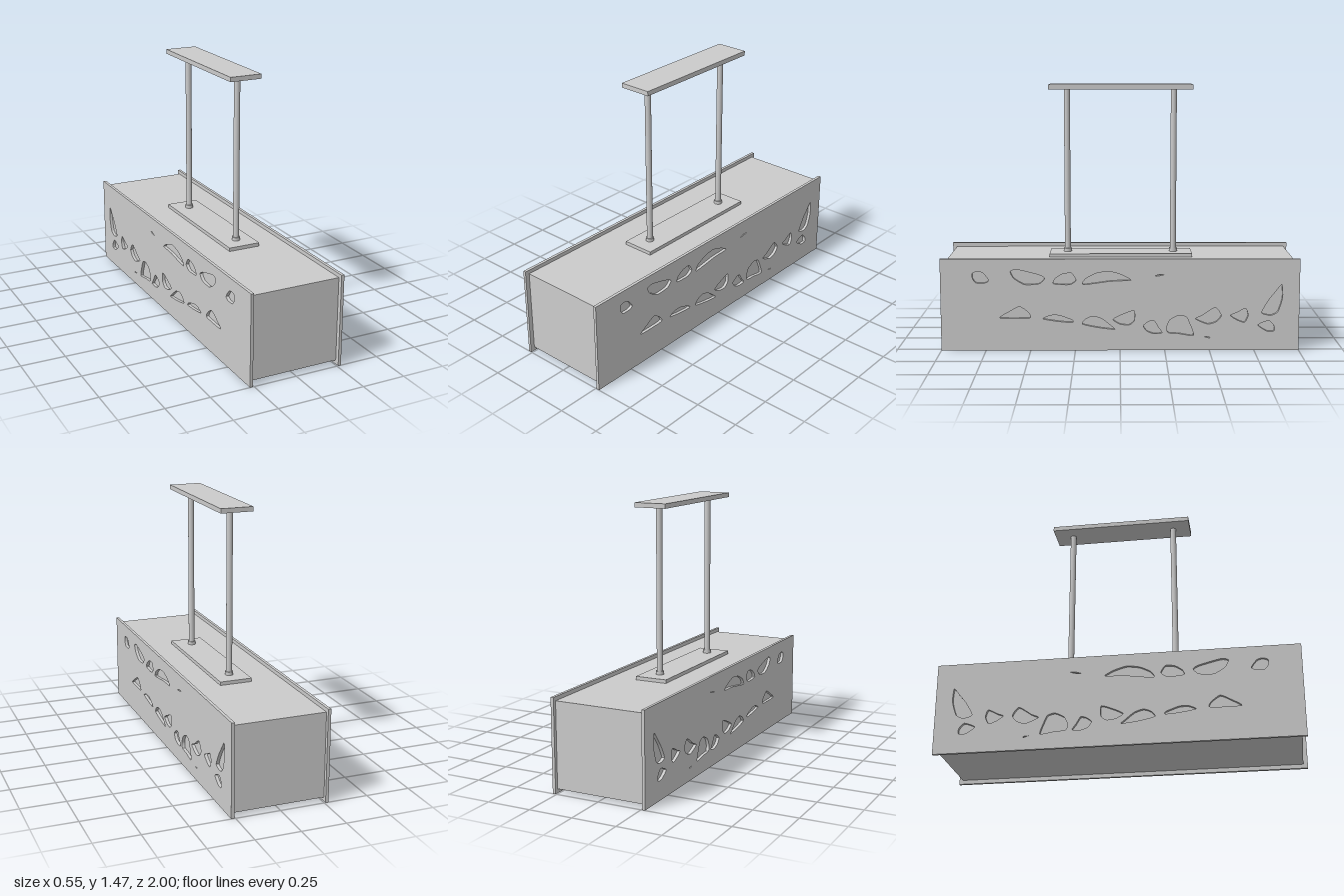
import * as THREE from 'three';

// Cut-out outlines as flat lists of z, y pairs
const upperCutouts = [
  [.82, .44, .79, .45, .76, .44, .73, .40, .75, .385, .80, .385, .82, .41],
  [.61, .45, .57, .46, .45, .43, .42, .41, .45, .38, .53, .375, .59, .41],
  [.37, .38, .36, .41, .32, .435, .27, .44, .245, .40, .28, .375],
  [.205, .375, .19, .41, .13, .44, .06, .45, -.01, .43, -.06, .40, .05, .395],
  [-.19, .423, -.22, .432, -.25, .433, -.22, .425],
];
const lowerCutouts = [
  [.67, .185, .62, .22, .56, .25, .51, .215, .505, .185],
  [.43, .18, .39, .20, .34, .20, .27, .175, .265, .16, .34, .165],
  [.21, .15, .19, .18, .15, .195, .10, .18, .05, .14, .03, .12, .12, .13],
  [.04, .175, .01, .195, -.05, .22, -.08, .225, -.08, .17, -.05, .145, 0, .15],
  [-.13, .14, -.16, .165, -.19, .17, -.215, .13, -.235, .10, -.19, .095, -.15, .11],
  [-.26, .13, -.28, .175, -.33, .20, -.37, .19, -.39, .15, -.41, .085, -.33, .095, -.27, .10],
  [-.42, .18, -.46, .20, -.53, .245, -.565, .20, -.54, .165, -.49, .15],
];
const endCutouts = [
  [-.615, .20, -.65, .215, -.70, .24, -.715, .20, -.695, .16, -.65, .175],
  [-.79, .215, -.83, .29, -.87, .34, -.90, .375, -.905, .30, -.88, .22, -.84, .20],
  [-.77, .145, -.83, .17, -.86, .14, -.86, .11, -.82, .11],
  [-.47, .078, -.50, .076, -.50, .07],
];

// Slightly rounded closed path through the outline points
function cutout(flat) {
  const points = [];
  for (let i = 0; i < flat.length; i += 2) points.push(new THREE.Vector3(flat[i], flat[i + 1], 0));
  const curve = new THREE.CatmullRomCurve3(points, true, 'catmullrom', 0.3);
  return new THREE.Path(curve.getPoints(points.length * 4).slice(0, -1).map(p => new THREE.Vector2(p.x, p.y)));
}

export function createModel() {
  const group = new THREE.Group();
  const material = new THREE.MeshStandardMaterial({ color: 0xcccccc });

  function add(name, geometry, x, y, z) {
    const mesh = new THREE.Mesh(geometry, material);
    mesh.name = name;
    mesh.position.set(x, y, z);
    group.add(mesh);
  }

  // Box given by its lower and upper limits
  function addBox(name, [x0, x1], [y0, y1], [z0, z1]) {
    add(name, new THREE.BoxGeometry(x1 - x0, y1 - y0, z1 - z0),
      (x0 + x1) / 2, (y0 + y1) / 2, (z0 + z1) / 2);
  }

  // Inner shade
  addBox('shadeBox', [-0.257, 0.257], [0.023, 0.498], [-0.98, 0.975]);

  // Pierced side panels
  const outline = new THREE.Shape([
    new THREE.Vector2(-1, 0), new THREE.Vector2(1, 0),
    new THREE.Vector2(1, 0.52), new THREE.Vector2(-1, 0.52),
  ]);
  outline.holes = [...upperCutouts, ...lowerCutouts, ...endCutouts].map(cutout);
  const panel = new THREE.ExtrudeGeometry(outline, { depth: 0.017, bevelEnabled: false });
  panel.rotateY(-Math.PI / 2);
  add('leftPanel', panel, 0.274, 0, 0);
  add('rightPanel', panel, -0.257, 0, 0);

  // Mounting plate and ceiling canopy
  addBox('mountingPlate', [-0.083, 0.102], [0.498, 0.518], [-0.41, 0.40]);
  addBox('canopy', [-0.083, 0.102], [1.448, 1.474], [-0.41, 0.40]);

  // Hanging rods with collars
  for (const z of [0.3, -0.305]) {
    add('rod', new THREE.CylinderGeometry(0.017, 0.017, 0.94, 32), 0.009, 0.983, z);
    add('collar', new THREE.CylinderGeometry(0.023, 0.023, 0.02, 32), 0.009, 0.527, z);
  }
  return group;
}
